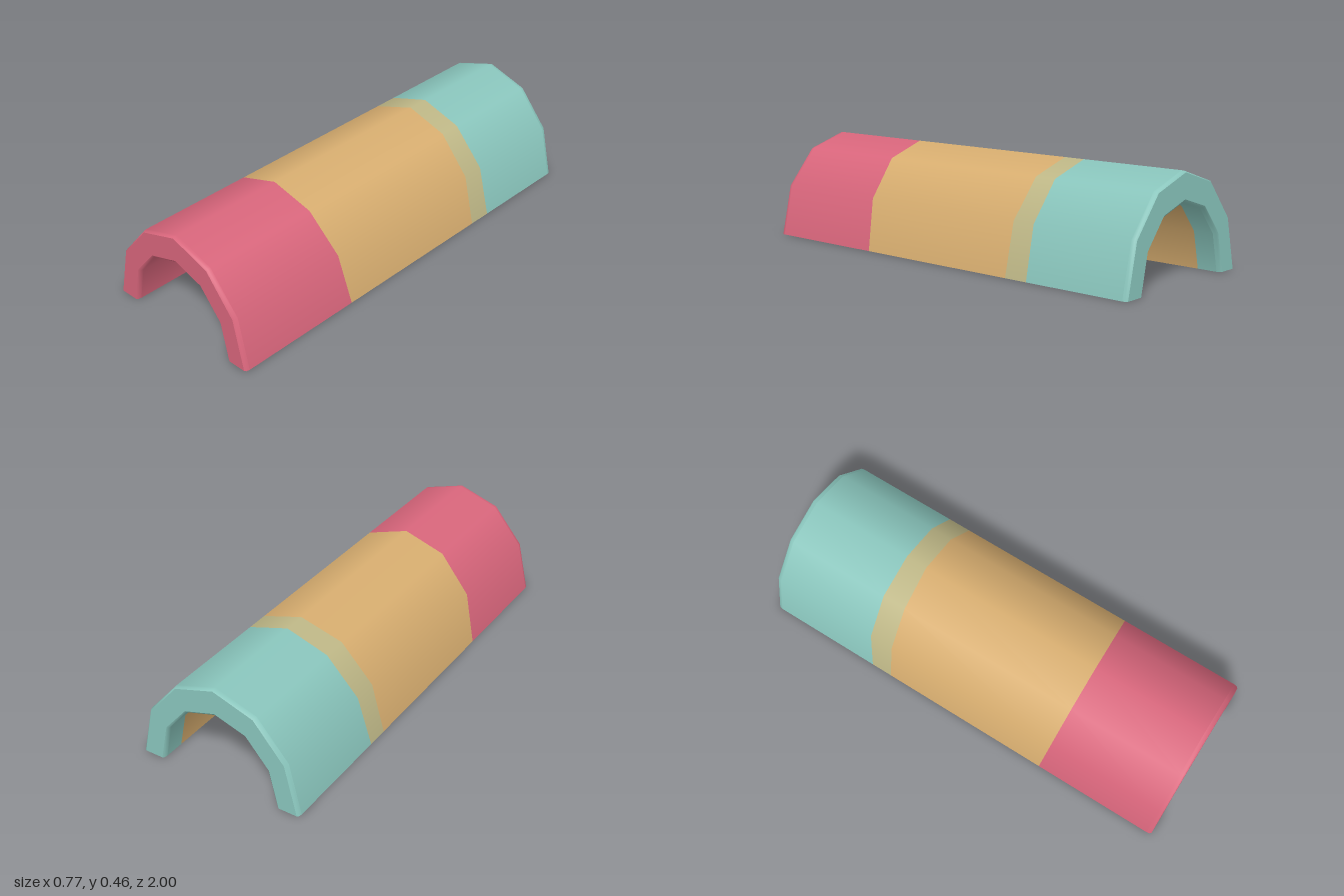
import * as THREE from 'three';

const mat = (name, color) => new THREE.MeshStandardMaterial({ name, color, side: THREE.DoubleSide });

// Half profiles of the arch, from foot to crown
const OUTER = [[0.385, 0], [0.332, 0.228], [0.191, 0.394], [0, 0.455]];
const INNER = [[0.28, 0], [0.243, 0.166], [0.141, 0.286], [0, 0.33]];
const mirror = (half) => [...half, ...half.slice(0, -1).reverse().map(([x, y]) => [-x, y])];
const scaled = (pts, sx, sy) => pts.map(([x, y]) => [x * sx, y * sy]);

// One arch-shaped row of points; z is a number or one value per profile point
const row = (pts, z) => pts.map(([x, y], i) => [x, y, Array.isArray(z) ? z[i] : z]);

// Skin a list of rows; side (+1 outside, -1 inside) gives smooth normals along the arch
function skin(name, material, rows, side = 0) {
  const n = rows[0].length, pos = rows.flat(2), nor = [], index = [];
  for (let r = 0; r < rows.length; r++) {
    for (let i = 0; i < n; i++) {
      const a = rows[r][Math.max(i - 1, 0)], b = rows[r][Math.min(i + 1, n - 1)];
      const tx = b[0] - a[0], ty = b[1] - a[1], l = Math.hypot(tx, ty) || 1;
      nor.push(side * ty / l, -side * tx / l, 0);
      if (r < rows.length - 1 && i < n - 1) {
        const p = r * n + i, q = p + n;
        index.push(p, q, p + 1, q, q + 1, p + 1);
      }
    }
  }
  const g = new THREE.BufferGeometry();
  g.setAttribute('position', new THREE.Float32BufferAttribute(pos, 3));
  g.setIndex(index);
  if (side) g.setAttribute('normal', new THREE.Float32BufferAttribute(nor, 3));
  else g.computeVertexNormals();
  const mesh = new THREE.Mesh(g, material);
  mesh.name = name;
  return mesh;
}

export function createModel() {
  const group = new THREE.Group();
  group.name = 'archedTunnel';
  const red = mat('rose', 0xd9667c), tan = mat('sand', 0xd8ae70), olive = mat('paleOlive', 0xbfb887);
  const teal = mat('teal', 0x8ac6bd), mauve = mat('mauve', 0xa88f9f);

  const outer = mirror(OUTER), inner = mirror(INNER);
  const E = 0.98; // where the rounded ends begin

  // Colour borders along the length, front to back, foot to foot
  const outerZ = [
    E,
    [0.4, 0.425, 0.445, 0.455, 0.455, 0.445, 0.425],
    [-0.4, -0.4, -0.4, -0.4, -0.39, -0.38, -0.37],
    [-0.51, -0.505, -0.5, -0.5, -0.5, -0.49, -0.47],
    -E,
  ];
  const innerZ = [E, 0.34, 0.2, -0.37, -0.49, -0.89, -E];
  const outerMats = [red, tan, olive, teal];
  const innerMats = [red, mauve, teal, olive, tan, teal];
  const at = (z, i) => (Array.isArray(z) ? z[i] : z);

  // Outer and inner shells
  outerMats.forEach((m, k) => group.add(
    skin('outerShell', m, [row(outer, outerZ[k]), row(outer, outerZ[k + 1])], 1)));
  innerMats.forEach((m, k) => group.add(
    skin('innerShell', m, [row(inner, innerZ[k + 1]), row(inner, innerZ[k])], -1)));

  // Undersides of the feet: left follows the inner colours, right the outer ones
  const foot = (name, x0, x1, zs, mats, i) => mats.forEach((m, k) => {
    const line = (z) => [[x0, 0, z], [x1, 0, z]];
    group.add(skin(name, m, [line(at(zs[k], i)), line(at(zs[k + 1], i))]));
  });
  foot('leftFoot', 0.28, 0.385, innerZ, innerMats, 0);
  foot('rightFoot', -0.385, -0.28, outerZ, outerMats, 6);

  // Rounded ends: bevels, flat face and foot tips
  for (const [s, m, label] of [[1, red, 'front'], [-1, teal, 'back']]) {
    const add = (name, rows) => group.add(skin(label + name, m, s > 0 ? rows : rows.reverse()));
    const o = [[1, 1, E], [0.992, 0.997, 0.994], [0.974, 0.986, 1]]
      .map(([sx, sy, z]) => row(scaled(outer, sx, sy), s * z));
    const n = [[1, 1, E], [1.01, 1.01, 0.994], [1.035, 1.035, 1]]
      .map(([sx, sy, z]) => row(scaled(inner, sx, sy), s * z));
    add('OuterBevel', [o[2], o[1], o[0]]);
    add('InnerBevel', [n[0], n[1], n[2]]);
    add('Face', [n[2], o[2]]);
    add('LeftFootTip', [2, 1, 0].map((k) => [n[k][0], o[k][0]]));
    add('RightFootTip', [2, 1, 0].map((k) => [o[k][6], n[k][6]]));
  }
  return group;
}
